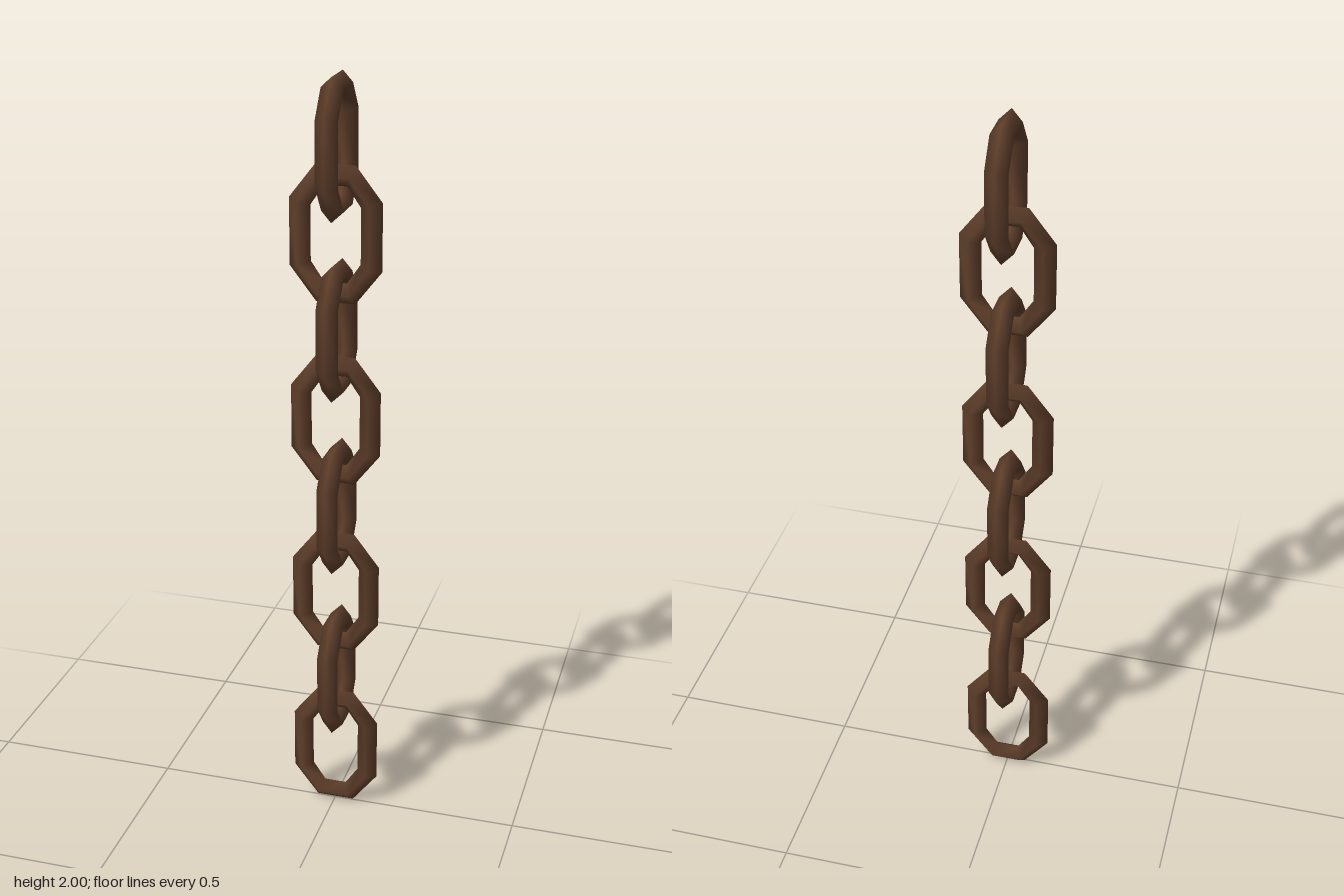
import * as THREE from 'three';

// One quarter of the link outline: outer and inner corners, as [x, y]
const OUTER = [[0.117, 0.085], [0.05, 0.1715]];
const INNER = [[0.063, 0.07], [0.029, 0.12]];
const HALF_DEPTH = 0.028;

// Mirror a quarter outline into a counter-clockwise octagon
function octagon([a, b]) {
  const half = [a, b, [-b[0], b[1]], [-a[0], a[1]]];
  return [...half, ...half.map(([x, y]) => [-x, -y])];
}

// Octagonal ring with a diamond cross-section and smooth normals
function linkGeometry() {
  const outer = octagon(OUTER), inner = octagon(INNER);
  const positions = [], indices = [];
  for (let j = 0; j < 8; j++) {
    const [ox, oy] = outer[j], [ix, iy] = inner[j];
    const mx = (ox + ix) / 2, my = (oy + iy) / 2;
    positions.push(ox, oy, 0, mx, my, HALF_DEPTH, ix, iy, 0, mx, my, -HALF_DEPTH);
    const n = (j + 1) % 8;
    for (let k = 0; k < 4; k++) {
      const k2 = (k + 1) % 4;
      const a = j * 4 + k, b = n * 4 + k, c = n * 4 + k2, d = j * 4 + k2;
      indices.push(a, b, c, a, c, d);
    }
  }
  const geometry = new THREE.BufferGeometry();
  geometry.setAttribute('position', new THREE.Float32BufferAttribute(positions, 3));
  geometry.setIndex(indices);
  geometry.computeVertexNormals();
  return geometry;
}

export function createModel() {
  const group = new THREE.Group();
  group.name = 'chain';
  const rust = new THREE.MeshStandardMaterial({ color: 0x5e3e2a });
  rust.name = 'rustyBrown';
  const geometry = linkGeometry();

  // Link centres from bottom to top; every second link is turned a quarter
  const heights = [0.1715, 0.411, 0.646, 0.894, 1.132, 1.3715, 1.6145, 1.8285];
  heights.forEach((y, i) => {
    const turned = i % 2 === 1;
    const link = new THREE.Mesh(geometry, rust);
    link.name = `link${i + 1}`;
    link.position.set(turned ? 0.004 : 0, y, turned ? 0 : -0.003);
    if (turned) link.rotation.y = Math.PI / 2;
    group.add(link);
  });
  return group;
}
